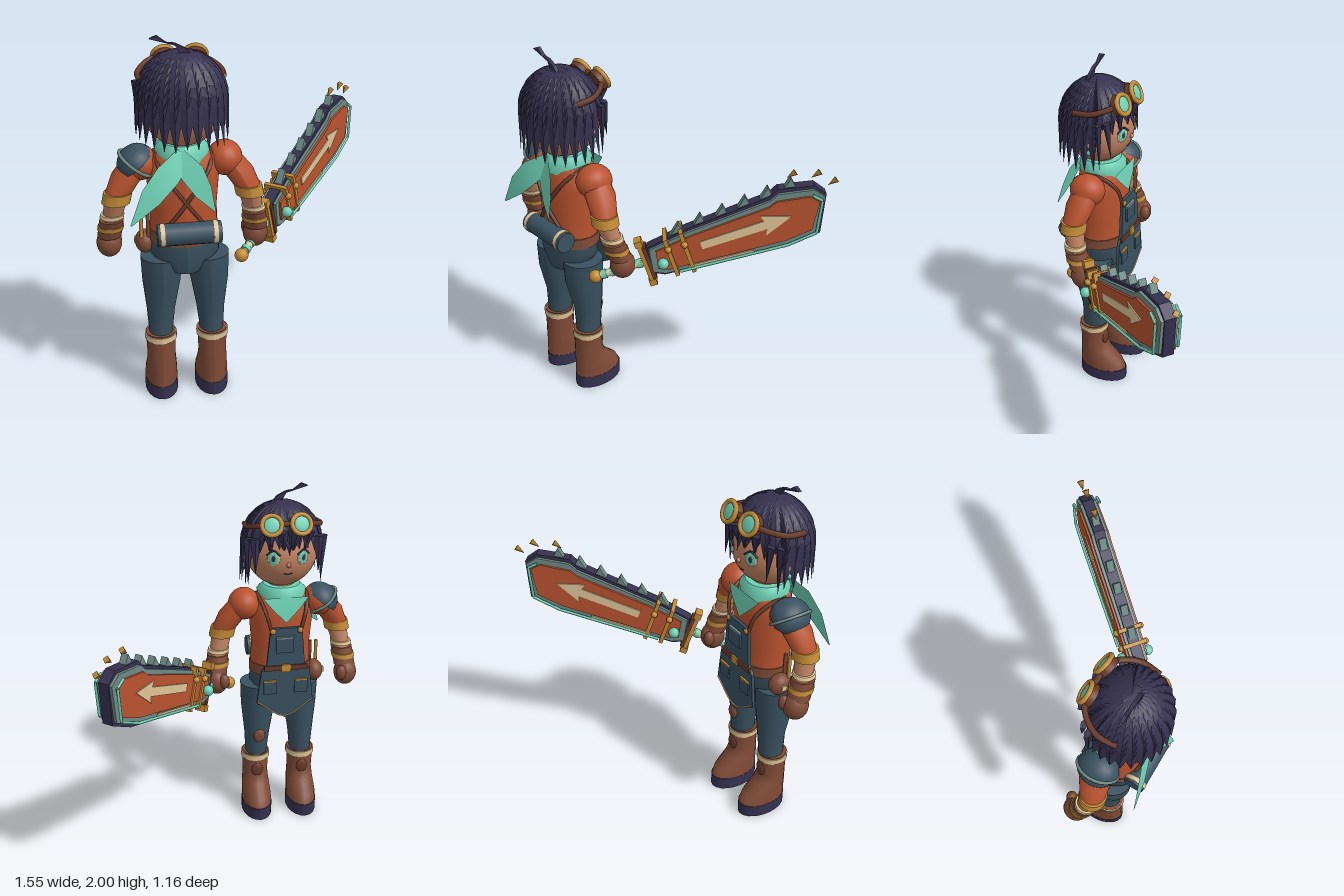
import * as THREE from 'three';

const paint = (name, color, side = THREE.FrontSide) => Object.assign(new THREE.MeshStandardMaterial({ color, side }), { name });
const V = (x, y, z) => new THREE.Vector3(x, y, z);

export function createModel() {
  const navy = paint('navy', 0x35314f), skin = paint('skin', 0xc08262), orange = paint('orange', 0xb9532f);
  const teal = paint('teal', 0x6ed0b4, THREE.DoubleSide), slate = paint('slate', 0x3a5160), brown = paint('leather', 0x7f4b37);
  const gold = paint('gold', 0xc38c36), cream = paint('cream', 0xe0c596), steel = paint('steel', 0x6f8a86), darkBrown = paint('darkLeather', 0x683a29);

  const model = new THREE.Group();
  const body = new THREE.Group();
  body.name = 'character';
  body.position.x = -0.335;
  model.add(body);

  const add = (parent, name, geo, mat, p = [0, 0, 0], s = [1, 1, 1], r = [0, 0, 0]) => {
    const m = new THREE.Mesh(geo, mat);
    m.name = name;
    m.position.set(...p); m.scale.set(...s); m.rotation.set(...r);
    parent.add(m);
    return m;
  };
  // Stacked ellipses, listed top to bottom: [y, cx, cz, rx, rz]
  const loft = (rows, seg = 20) => {
    const n = rows.length - 1, g = new THREE.CylinderGeometry(1, 1, 1, seg, n), p = g.attributes.position;
    for (let i = 0; i < p.count; i++) {
      const [y, cx, cz, rx, rz] = rows[Math.round((0.5 - p.getY(i)) * n)];
      p.setXYZ(i, cx + p.getX(i) * rx, y, cz + p.getZ(i) * rz);
    }
    g.computeVertexNormals();
    return g;
  };
  const tube = (pts, r, seg = 24) => new THREE.TubeGeometry(new THREE.CatmullRomCurve3(pts.map(q => V(...q))), seg, r, 6);
  const ball = new THREE.SphereGeometry(1, 20, 14);
  const box = (x, y, z) => new THREE.BoxGeometry(x, y, z);
  const slab = (pts, depth) => new THREE.ExtrudeGeometry(
    new THREE.Shape(pts.map(q => new THREE.Vector2(...q))), { depth, bevelEnabled: false }).translate(0, 0, -depth / 2);
  // Flat cloth strip: rows of [x, y, z, halfWidth], widened across the xy plane
  const ribbon = rows => {
    const pos = [], idx = [], dx = rows.at(-1)[0] - rows[0][0], dy = rows.at(-1)[1] - rows[0][1], l = Math.hypot(dx, dy);
    rows.forEach(([x, y, z, w], i) => {
      pos.push(x - dy / l * w, y + dx / l * w, z, x + dy / l * w, y - dx / l * w, z);
      if (i) idx.push(2 * i - 2, 2 * i - 1, 2 * i, 2 * i - 1, 2 * i + 1, 2 * i);
    });
    const g = new THREE.BufferGeometry();
    g.setAttribute('position', new THREE.Float32BufferAttribute(pos, 3));
    g.setIndex(idx);
    g.computeVertexNormals();
    return g;
  };

  // Torso, belt and hips
  add(body, 'tunic', loft([[1.43, 0, 0.35, 0.09, 0.09], [1.38, 0, 0.35, 0.17, 0.12], [1.28, 0, 0.35, 0.185, 0.145], [1.1, 0, 0.35, 0.17, 0.14], [0.97, 0, 0.35, 0.175, 0.14]]), orange);
  add(body, 'belt', loft([[0.99, 0, 0.35, 0.18, 0.147], [0.93, 0, 0.35, 0.182, 0.147]]), brown);
  add(body, 'hips', loft([[0.95, 0, 0.36, 0.172, 0.135], [0.86, 0, 0.36, 0.18, 0.137], [0.77, 0, 0.36, 0.1, 0.12]]), slate);

  // Legs and boots
  for (const s of [-1, 1]) {
    add(body, 'trouserLeg', loft([[0.84, s * 0.12, 0.365, 0.11, 0.113], [0.7, s * 0.125, 0.365, 0.1, 0.107], [0.52, s * 0.132, 0.35, 0.075, 0.08], [0.37, s * 0.136, 0.355, 0.062, 0.072]]), slate);
    add(body, 'bootShaft', loft([[0.385, s * 0.138, 0.362, 0.08, 0.082], [0.25, s * 0.138, 0.362, 0.075, 0.08], [0.19, s * 0.138, 0.35, 0.08, 0.095], [0.12, s * 0.138, 0.312, 0.086, 0.135], [0.07, s * 0.138, 0.302, 0.088, 0.147]]), brown);
    add(body, 'sole', loft([[0.075, s * 0.138, 0.302, 0.089, 0.149], [0, s * 0.138, 0.302, 0.089, 0.149]]), navy);
    add(body, 'bootCuff', loft([[0.378, s * 0.138, 0.362, 0.086, 0.088], [0.345, s * 0.138, 0.362, 0.085, 0.087]]), cream);
    add(body, 'shinPad', ball, darkBrown, [s * 0.138, 0.28, 0.287], [0.035, 0.045, 0.015]);
  }
  add(body, 'kneePatch', ball, brown, [0.13, 0.52, 0.275], [0.035, 0.045, 0.018]);

  // Arms, mirrored
  for (const s of [-1, 1]) {
    const arm = rows => loft(rows.map(([y, x, z, r]) => [y, s * x, z, r, r]), 16);
    add(body, 'shoulder', ball, orange, [s * 0.215, 1.345, 0.34], [0.09, 0.09, 0.1]);
    add(body, 'sleeve', arm([[1.37, 0.22, 0.34, 0.07], [1.29, 0.275, 0.35, 0.082], [1.2, 0.325, 0.365, 0.068]]), orange);
    add(body, 'sleeveCuff', arm([[1.205, 0.328, 0.37, 0.073], [1.15, 0.34, 0.37, 0.073]]), gold);
    add(body, 'forearm', arm([[1.16, 0.34, 0.37, 0.058], [1, 0.374, 0.33, 0.045]]), skin);
    add(body, 'gauntlet', arm([[1.045, 0.366, 0.345, 0.062], [0.94, 0.38, 0.31, 0.062]]), brown);
    add(body, 'gauntletBand', arm([[1.08, 0.36, 0.35, 0.06], [1.06, 0.364, 0.347, 0.062]]), cream);
    add(body, 'wristRing', arm([[1.01, 0.37, 0.333, 0.067], [0.985, 0.374, 0.327, 0.067]]), gold);
    add(body, 'glove', ball, brown, [s * 0.382, 0.895, 0.295], [0.066, 0.078, 0.07]);
    add(body, 'thumb', ball, brown, [s * 0.345, 0.91, 0.245], [0.03, 0.045, 0.03]);
  }
  add(body, 'shoulderPad', new THREE.SphereGeometry(1, 20, 8, 0, Math.PI * 2, 0, 1.6), slate, [-0.23, 1.345, 0.34], [0.1, 0.09, 0.11], [0, 0, 0.65]);
  add(body, 'shoulderPadTrim', new THREE.TorusGeometry(0.1, 0.009, 6, 24), steel, [-0.233, 1.34, 0.34], [1, 1.08, 1], [Math.PI / 2, -0.65, 0]);

  // Scarf with two tails behind and a point in front
  add(body, 'scarf', loft([[1.455, 0, 0.35, 0.105, 0.105], [1.42, 0, 0.35, 0.14, 0.13], [1.36, 0, 0.35, 0.125, 0.135]]), teal);
  add(body, 'scarfTail', ribbon([[0, 1.42, 0.47, 0.045], [-0.09, 1.34, 0.53, 0.065], [-0.18, 1.24, 0.56, 0.055], [-0.28, 1.11, 0.58, 0.004]]), teal);
  add(body, 'scarfTail', ribbon([[-0.04, 1.42, 0.47, 0.045], [0.03, 1.34, 0.52, 0.06], [0.08, 1.25, 0.55, 0.045], [0.13, 1.16, 0.58, 0.004]]), teal);
  add(body, 'scarfFront', ribbon([[0, 1.41, 0.215, 0.13], [0, 1.35, 0.2, 0.08], [0, 1.27, 0.192, 0.003]]), teal);

  // Apron on the chest side
  const apron = new THREE.Group();
  apron.name = 'apron';
  apron.position.z = 0.193;
  body.add(apron);
  add(apron, 'apronPanel', slab([[-0.09, 1.24], [-0.11, 1.02], [-0.14, 0.98], [-0.165, 0.78], [0, 0.68], [0.165, 0.78], [0.14, 0.98], [0.11, 1.02], [0.09, 1.24]], 0.018), slate);
  add(apron, 'apronHem', tube([[-0.16, 0.79, -0.011], [0, 0.692, -0.011], [0.16, 0.79, -0.011]], 0.004), cream);
  add(apron, 'apronPocket', box(0.1, 0.09, 0.015), slate, [0.01, 1.14, -0.013]);
  add(apron, 'pocketTrim', box(0.1, 0.01, 0.018), steel, [0.01, 1.185, -0.014]);
  add(apron, 'apronBelt', box(0.25, 0.03, 0.015), darkBrown, [0, 1, -0.01]);
  add(apron, 'buckle', box(0.05, 0.045, 0.01), gold, [0, 1, -0.02]);
  for (const s of [-1, 1]) {
    add(apron, 'hipPocket', box(0.075, 0.08, 0.012), slate, [s * 0.09, 0.88, -0.012]);
    add(apron, 'pocketEdge', box(0.075, 0.008, 0.014), gold, [s * 0.09, 0.92, -0.013]);
    add(apron, 'strapButton', ball, gold, [s * 0.078, 1.225, -0.012], [0.016, 0.016, 0.008]);
    add(body, 'shoulderStrap', tube([[s * 0.078, 1.2, 0.19], [s * 0.115, 1.33, 0.215], [s * 0.14, 1.395, 0.33], [s * 0.12, 1.34, 0.46], [0, 1.17, 0.498], [-s * 0.1, 1.03, 0.475]], 0.011, 40), darkBrown);
  }

  // Bedroll, pouch and tools
  add(body, 'bedroll', new THREE.CylinderGeometry(0.057, 0.057, 0.32, 16), slate, [0.01, 1.012, 0.505], [1, 1, 1], [0, 0, Math.PI / 2]);
  for (const x of [-0.125, 0.14]) add(body, 'bedrollTie', new THREE.CylinderGeometry(0.06, 0.06, 0.022, 16), cream, [x, 1.012, 0.505], [1, 1, 1], [0, 0, Math.PI / 2]);
  add(body, 'pouch', ball, brown, [-0.2, 0.905, 0.33], [0.052, 0.062, 0.065]);
  add(body, 'pouchClasp', box(0.01, 0.03, 0.03), cream, [-0.25, 0.91, 0.32]);
  for (const x of [-0.22, -0.185]) add(body, 'tool', new THREE.CylinderGeometry(0.01, 0.01, 0.13, 8), x < -0.2 ? gold : brown, [x, 1.01, 0.37]);

  // Head and face
  add(body, 'neck', loft([[1.5, 0, 0.36, 0.07, 0.07], [1.4, 0, 0.35, 0.08, 0.08]]), skin);
  add(body, 'head', new THREE.SphereGeometry(1, 32, 24), skin, [0, 1.64, 0.37], [0.2, 0.2, 0.195]);
  const faceZ = (x, y) => 0.37 - 0.195 * Math.sqrt(1 - (x / 0.2) ** 2 - ((y - 1.64) / 0.2) ** 2);
  for (const s of [-1, 1]) {
    const eye = new THREE.Group(), x = s * 0.08, y = 1.65;
    eye.name = 'eye';
    eye.position.set(x, y, faceZ(x, y));
    eye.rotation.y = Math.PI - s * 0.4;
    body.add(eye);
    add(eye, 'eyeWhite', ball, cream, [0, 0, 0.002], [0.036, 0.042, 0.006]);
    add(eye, 'iris', ball, teal, [0, 0, 0.005], [0.028, 0.036, 0.006]);
    add(eye, 'pupil', ball, navy, [0, 0, 0.008], [0.013, 0.019, 0.005]);
    add(eye, 'glint', ball, cream, [0.011, 0.015, 0.011], [0.006, 0.007, 0.003]);
    add(eye, 'lash', tube([[-0.038, 0.018, 0.005], [0, 0.044, 0.006], [0.038, 0.018, 0.005]], 0.005), navy);
    add(body, 'ear', ball, skin, [s * 0.2, 1.62, 0.34], [0.02, 0.04, 0.03]);
    add(body, 'earring', ball, teal, [s * 0.212, 1.575, 0.33], [0.012, 0.016, 0.012]);
  }
  add(body, 'nose', ball, skin, [0, 1.612, 0.176], [0.012, 0.014, 0.014]);
  add(body, 'mouth', tube([-0.025, 0, 0.025].map(x => [x, 1.555 + x * x * 6, faceZ(x, 1.555) - 0.001]), 0.003), navy);

  // Hair: a dome whose lower edge is cut into pointed locks, raised over the face
  const lockCount = 52, hairRows = 10;
  const hair = new THREE.LatheGeometry(Array.from({ length: hairRows + 1 }, (_, i) => new THREE.Vector2(1, hairRows - i)), lockCount);
  const hp = hair.attributes.position;
  for (let i = 0; i < hp.count; i++) {
    const k = Math.floor(i / (hairRows + 1)) % lockCount, u = (i % (hairRows + 1)) / hairRows;
    const a = k / lockCount * Math.PI * 2, open = Math.abs(a - Math.PI) < 1.1, tip = k % 2 === 0;
    const low = open ? (tip ? 1.69 - 0.02 * Math.sin(k * 2) : 1.755) : (tip ? 1.485 + 0.025 * Math.sin(k * 3) : 1.6);
    const y = 1.92 - (1.92 - low) * u ** 1.7, d = Math.max(0, (y - 1.69) / 0.23);
    const r = Math.sqrt(Math.max(0, 1 - d * d)) * (tip ? 1.01 : 0.975);
    hp.setXYZ(i, Math.sin(a) * r * 0.228, y, 0.375 + Math.cos(a) * r * 0.213);
  }
  const hairMat = navy.clone();
  hairMat.side = THREE.DoubleSide;
  hairMat.flatShading = true;
  add(body, 'hair', hair, hairMat);
  // Loose locks hanging beside the face and over the brow
  const lock = (name, p, r, h, rot) => add(body, name, new THREE.ConeGeometry(r, h, 5), hairMat, p, [1, 1, 0.6], rot);
  for (const s of [-1, 1]) {
    lock('sideLock', [s * 0.205, 1.61, 0.27], 0.03, 0.27, [Math.PI, 0, 0]);
    lock('sideLock', [s * 0.175, 1.65, 0.225], 0.032, 0.2, [Math.PI + 0.1, 0, 0]);
    for (const x of [0.03, 0.1]) lock('bang', [s * x, 1.735, 0.175 + x * 0.2], 0.036, 0.13, [Math.PI - 0.15, 0, s * 0.15]);
  }
  add(body, 'topTuft', slab([[0.0, 1.9], [-0.03, 1.95], [-0.15, 1.985], [-0.115, 2], [-0.07, 1.965], [-0.03, 1.96], [0.02, 1.935], [0.05, 1.9]].reverse(), 0.02), hairMat, [0, 0, 0.41]);

  // Goggles pushed up on the brow
  add(body, 'goggleStrap', tube([[-0.2, 1.785, 0.42], [-0.203, 1.8, 0.31], [-0.13, 1.83, 0.21], [0, 1.84, 0.19], [0.13, 1.83, 0.21], [0.203, 1.8, 0.31], [0.2, 1.785, 0.42]], 0.015, 40), darkBrown);
  for (const s of [-1, 1]) {
    const g = new THREE.Group();
    g.name = 'goggle';
    g.position.set(s * 0.08 + 0.015, 1.835, 0.185);
    g.rotation.set(0.45, Math.PI - s * 0.12, 0, 'YXZ');
    g.rotation.x = -0.45;
    body.add(g);
    add(g, 'goggleCup', new THREE.CylinderGeometry(0.056, 0.06, 0.04, 20), darkBrown, [0, 0, -0.01], [1, 1, 1], [Math.PI / 2, 0, 0]);
    add(g, 'goggleRim', new THREE.TorusGeometry(0.053, 0.013, 8, 24), gold, [0, 0, 0.01]);
    add(g, 'goggleLens', ball, teal, [0, 0, 0.008], [0.046, 0.046, 0.012]);
  }

  // Sword: local x runs along the blade, y across its width, z through its thickness
  const sword = new THREE.Group();
  sword.name = 'sword';
  const d = V(0.604, 0.316, -0.731).normalize(), n = V(0.771, 0, 0.637).normalize();
  sword.quaternion.setFromRotationMatrix(new THREE.Matrix4().makeBasis(d, n.clone().cross(d).normalize(), n));
  sword.position.set(-0.045, 0.82, 0.41);
  model.add(sword);
  const outline = [[0.31, -0.05], [0.37, -0.08], [1.04, -0.122], [1.2, -0.1], [1.285, 0.088], [1.24, 0.147], [1.06, 0.182], [1.01, 0.158], [0.55, 0.122], [0.33, 0.085]];
  const grow = (k, m) => outline.map(([x, y]) => [0.8 + (x - 0.8) * k, 0.03 + (y - 0.03) * m]);
  add(sword, 'bladeCore', slab(grow(1.02, 1.13), 0.06), navy);
  add(sword, 'bladeFrame', slab(outline, 0.092), steel);
  add(sword, 'bladePanel', slab(grow(0.93, 0.78), 0.116), orange);
  for (let i = 0; i < 6; i++) {
    const x = 0.46 + i * 0.125, y = 0.118 + i * 0.0125;
    add(sword, 'bladeTooth', slab([[x, y], [x + 0.07, y], [x + 0.06, y + 0.055]], 0.04), steel);
  }
  const rod = (a, b, r, name, mat) => add(sword, name, tube([a, b], r, 1), mat);
  for (const s of [-1, 1]) {
    add(sword, 'arrow', slab([[0.6, 0.01], [0.95, 0.015], [0.94, -0.02], [1.09, 0.045], [0.94, 0.1], [0.95, 0.065], [0.6, 0.056]], 0.008), cream, [0, 0, s * 0.06]);
    add(sword, 'panelStripe', slab([[0.5, -0.078], [0.85, -0.098], [0.85, -0.086], [0.5, -0.066]], 0.008), cream, [0, 0, s * 0.056]);
    const rim = [[0.45, -0.08], [1.03, -0.112], [1.19, -0.09], [1.265, 0.085], [1.225, 0.13]];
    for (let i = 1; i < rim.length; i++) rod([...rim[i - 1], s * 0.066], [...rim[i], s * 0.066], 0.008, 'tealRim', teal);
    add(sword, 'gem', ball, teal, [0.38, 0, s * 0.075], [0.03, 0.03, 0.03]);
    for (const x of [0.43, 0.52]) add(sword, 'bandKnob', ball, gold, [x, 0.07, s * 0.07], [0.018, 0.018, 0.018]);
  }
  for (const [x, c, h] of [[0.43, 0.012, 0.23], [0.52, 0.015, 0.25]]) add(sword, 'bladeBand', box(0.022, h, 0.134), gold, [x, c, 0]);

  // Grip, guard and pommel
  const along = [0, 0, Math.PI / 2];
  add(sword, 'grip', new THREE.CylinderGeometry(0.021, 0.021, 0.3, 12), cream, [0.15, 0, 0], [1, 1, 1], along);
  for (let i = 0; i < 5; i++) add(sword, 'gripWrap', new THREE.CylinderGeometry(0.026, 0.026, 0.026, 12), teal, [0.05 + i * 0.05, 0, 0], [1, 1, 1], along);
  add(sword, 'pommel', ball, gold, [0, 0, 0], [0.036, 0.036, 0.036]);
  add(sword, 'guard', box(0.026, 0.27, 0.055), gold, [0.285, 0, 0]);
  add(sword, 'guardInner', box(0.022, 0.2, 0.07), darkBrown, [0.305, 0, 0]);
  for (const s of [-1, 1]) add(sword, 'guardEnd', box(0.04, 0.035, 0.06), gold, [0.285, s * 0.125, 0]);

  // Floating sparks above the tip
  for (const [x, y] of [[1.15, 0.245], [1.27, 0.205], [1.34, 0.135]])
    add(sword, 'spark', new THREE.ConeGeometry(0.02, 0.055, 4), gold, [x, y, 0], [1, 1, 1], [0, 0, 1.9]);
  return model;
}
